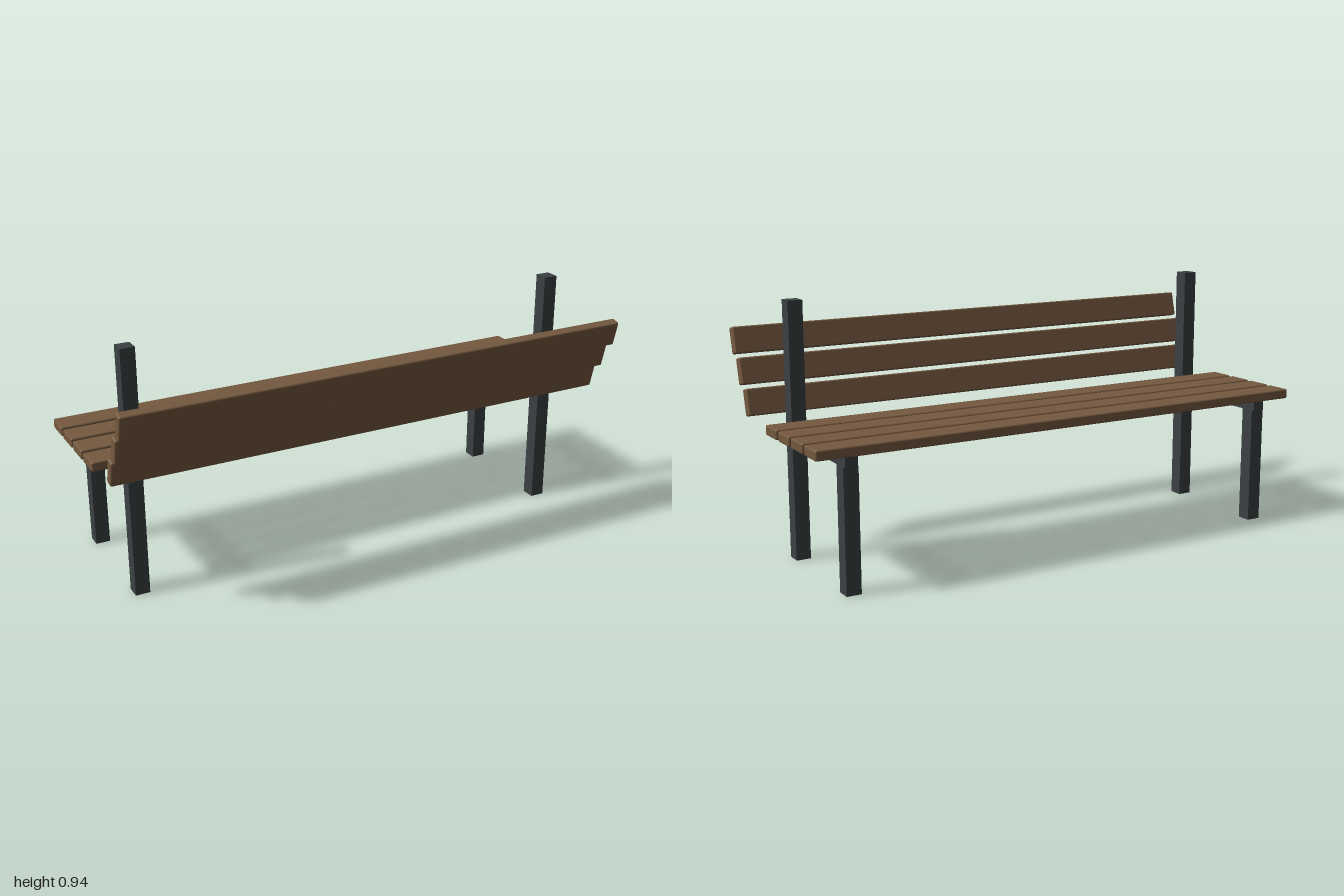
import * as THREE from 'three';
import { RoundedBoxGeometry } from 'three/addons/geometries/RoundedBoxGeometry.js';

export function createModel() {
  const bench = new THREE.Group();
  bench.name = 'bench';
  const wood = new THREE.MeshStandardMaterial({ color: 0x75593f });
  const metal = new THREE.MeshStandardMaterial({ color: 0x3b4043 });

  const add = (name, geometry, material, x, y, z) => {
    const mesh = new THREE.Mesh(geometry, material);
    mesh.name = name;
    mesh.position.set(x, y, z);
    bench.add(mesh);
    return mesh;
  };

  // Two metal side frames: tall post, short leg and the beam joining them
  const post = new THREE.BoxGeometry(0.055, 0.945, 0.055);
  const leg = new THREE.BoxGeometry(0.055, 0.446, 0.055);
  const beam = new THREE.BoxGeometry(0.047, 0.046, 0.511);
  for (const [side, x] of [['left', 0.868], ['right', -0.868]]) {
    add(side + 'Post', post, metal, x, 0.4725, 0.0995);
    add(side + 'Leg', leg, metal, x, 0.223, -0.345);
    add(side + 'SeatBeam', beam, metal, x, 0.467, -0.1235);
  }

  // Wooden slats with softened edges
  const slat = new RoundedBoxGeometry(2, 0.037, 0.099, 2, 0.006);
  for (let i = 0; i < 4; i++) {
    add('seatSlat' + (i + 1), slat, wood, 0, 0.501, 0.0045 - i * 0.1167);
  }

  // Backrest slats, stepped outwards and leaning
  const backSlat = new RoundedBoxGeometry(2, 0.099, 0.037, 2, 0.006);
  for (let i = 0; i < 3; i++) {
    const s = add('backSlat' + (i + 1), backSlat, wood, 0, 0.563 + i * 0.105, 0.2475 + i * 0.06);
    s.rotation.x = 0.25;
  }
  return bench;
}
